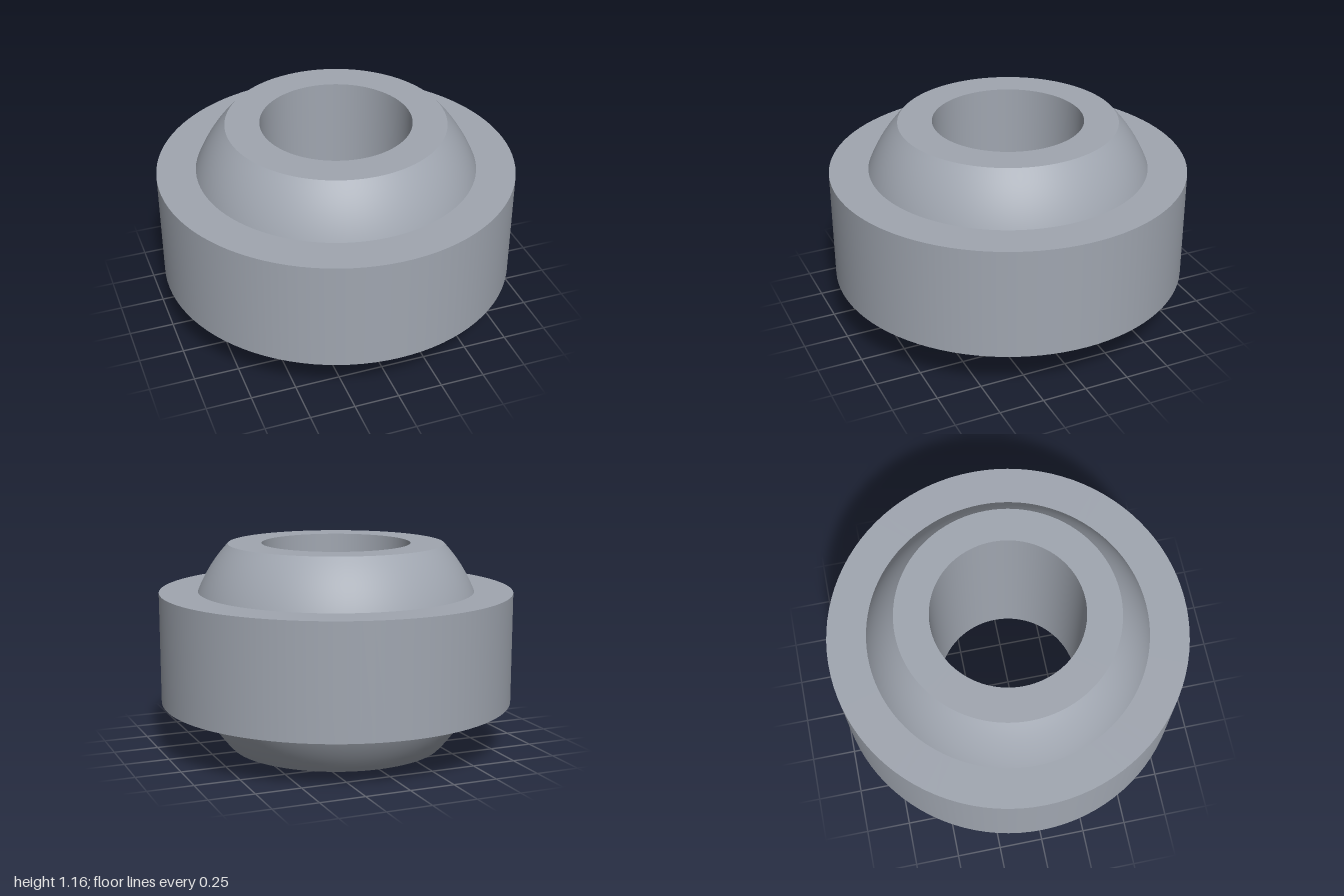
import * as THREE from 'three';
import { mergeGeometries } from 'three/addons/utils/BufferGeometryUtils.js';

const SEGMENTS = 96;
const MID = 0.58;          // height of the ball centre
const BALL_R = 0.842;      // spherical bearing surface
const BALL_HALF = 0.58, BORE_R = 0.42;
const RING_HALF = 0.313, RING_R = 1;

// Points along the spherical surface between two heights relative to its centre
function arc(from, to, steps) {
  const a = Math.asin(from / BALL_R), b = Math.asin(to / BALL_R);
  return Array.from({ length: steps + 1 }, (_, i) => {
    const t = a + (b - a) * i / steps;
    return [BALL_R * Math.cos(t), BALL_R * Math.sin(t)];
  });
}

// Closed ring: each profile run is lathed alone so the rims between runs stay sharp
function turned(name, material, runs) {
  const parts = runs.map(run =>
    new THREE.LatheGeometry(run.map(([r, y]) => new THREE.Vector2(r, y)), SEGMENTS));
  const mesh = new THREE.Mesh(mergeGeometries(parts), material);
  mesh.name = name;
  mesh.position.y = MID;
  return mesh;
}

export function createModel() {
  const steel = new THREE.MeshStandardMaterial({ color: 0xa0a6b0 });
  steel.name = 'steel';
  const group = new THREE.Group();
  group.name = 'sphericalBearing';

  // Inner ball with flat ends and a straight bore
  const h = BALL_HALF, ball = arc(-h, h, 32);
  group.add(turned('innerBall', steel, [
    ball,
    [ball.at(-1), [BORE_R, h]],
    [[BORE_R, h], [BORE_R, -h]],
    [[BORE_R, -h], ball[0]],
  ]));

  // Outer race with a spherical seat around the ball
  const k = RING_HALF, seat = arc(k, -k, 20);
  group.add(turned('outerRace', steel, [
    [[RING_R, -k], [RING_R, k]],
    [[RING_R, k], seat[0]],
    seat,
    [seat.at(-1), [RING_R, -k]],
  ]));

  return group;
}
